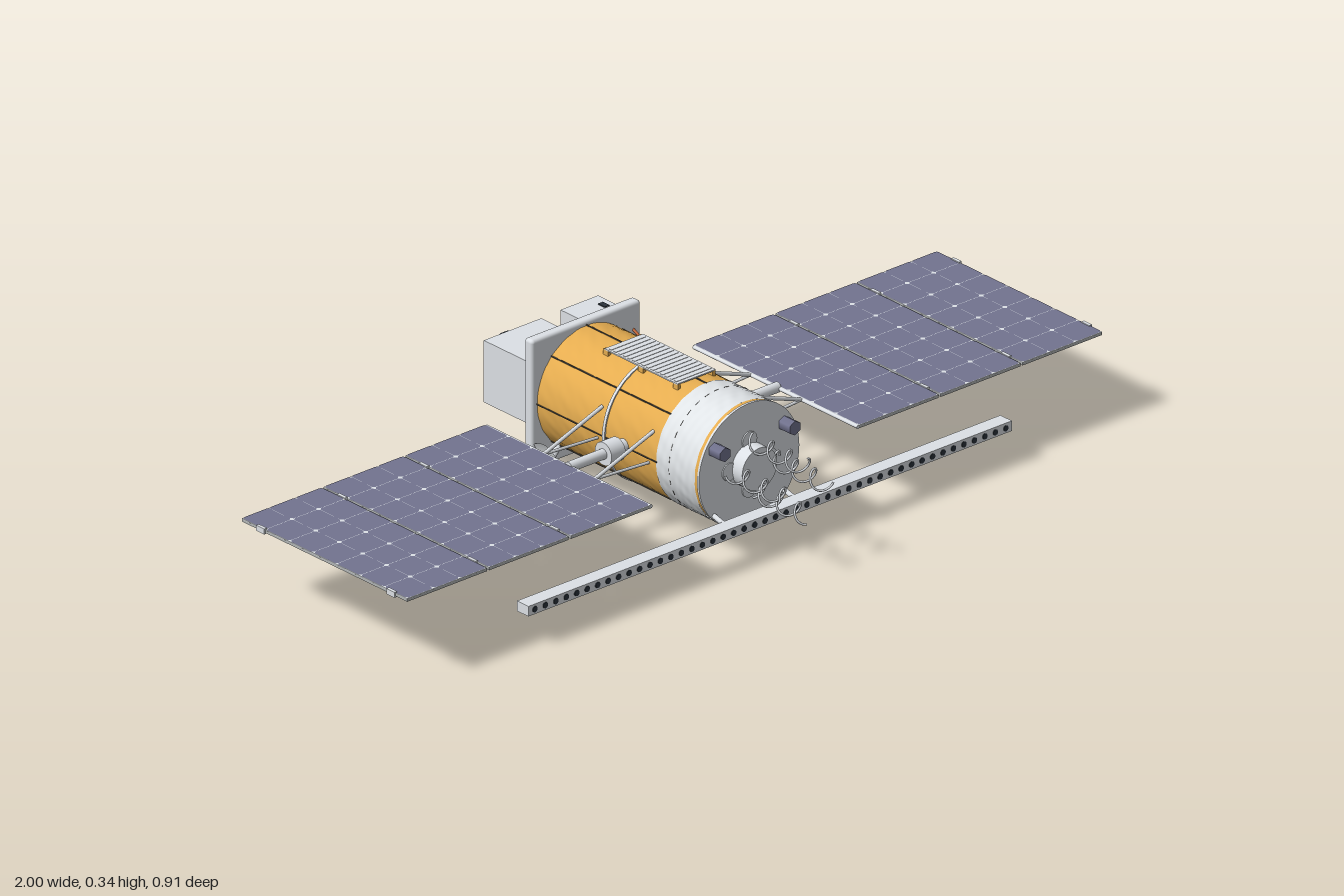
import * as THREE from 'three';
import { mergeGeometries } from 'three/addons/utils/BufferGeometryUtils.js';
import { RoundedBoxGeometry } from 'three/addons/geometries/RoundedBoxGeometry.js';

const mat = (name, color, side = THREE.FrontSide) => {
  const m = new THREE.MeshStandardMaterial({ color, side });
  m.name = name;
  return m;
};

export function createModel() {
  const gold = mat('gold foil', 0xe6ad50);
  const blanket = mat('silver blanket', 0xe2e6e9, THREE.DoubleSide);
  const metal = mat('light metal', 0xdde1e6);
  const cellBlue = mat('solar cell', 0x737490);
  const backing = mat('panel backing', 0xb2b6b6);
  const black = mat('black', 0x2a323a);
  const glass = mat('lens glass', 0x263540);
  const seam = mat('dark seam', 0x4a463f);
  const copper = mat('copper pipe', 0xc0663a);

  const model = new THREE.Group();
  const CY = 0.19, R = 0.143;

  const add = (name, geo, material, x = 0, y = 0, z = 0, parent = model) => {
    const m = new THREE.Mesh(geo, material);
    m.name = name;
    m.position.set(x, y, z);
    parent.add(m);
    return m;
  };
  const box = (name, material, w, h, d, x, y, z, parent) =>
    add(name, new THREE.BoxGeometry(w, h, d), material, x, y, z, parent);
  // cylinder along z between two depths
  const drum = (name, material, r, z0, z1, x, y, n = 40) =>
    add(name, new THREE.CylinderGeometry(r, r, z1 - z0, n).rotateX(Math.PI / 2), material, x, y, (z0 + z1) / 2);
  const rod = (name, material, a, b, r, parent = model, n = 12) => {
    const p = new THREE.Vector3(...a), q = new THREE.Vector3(...b);
    const m = add(name, new THREE.CylinderGeometry(r, r, p.distanceTo(q), n), material, 0, 0, 0, parent);
    m.position.copy(p).add(q).multiplyScalar(0.5);
    m.quaternion.setFromUnitVectors(new THREE.Vector3(0, 1, 0), q.sub(p).normalize());
    return m;
  };

  // Body: lightly crinkled foil wraps
  const wrap = (name, material, r, z0, z1) => {
    const g = new THREE.CylinderGeometry(r, r, z1 - z0, 96, 40, true).rotateX(Math.PI / 2);
    const p = g.attributes.position;
    for (let i = 0; i < p.count; i++) {
      const x = p.getX(i), y = p.getY(i), z = p.getZ(i), a = Math.atan2(y, x);
      const k = 1 + 0.005 * Math.sin(13 * a + 120 * z) * Math.sin(170 * z - 7 * a) + 0.002 * Math.sin(23 * a - 160 * z);
      p.setXY(i, x * k, y * k);
    }
    g.computeVertexNormals();
    // match normals across the wrap seam
    const n = g.attributes.normal;
    for (let i = 0; i < p.count; i += 97) {
      const v = new THREE.Vector3().fromBufferAttribute(n, i).add(new THREE.Vector3().fromBufferAttribute(n, i + 96)).normalize();
      n.setXYZ(i, v.x, v.y, v.z);
      n.setXYZ(i + 96, v.x, v.y, v.z);
    }
    add(name, g, material, 0, CY, (z0 + z1) / 2);
  };
  wrap('goldBody', gold, R - 0.001, -0.26, 0.13);
  wrap('silverFrontWrap', blanket, R, 0.128, 0.252);
  drum('frontGoldRim', gold, R - 0.001, 0.25, 0.262, 0, CY, 64);
  drum('frontPlate', metal, R + 0.001, 0.261, 0.267, 0, CY, 64);
  drum('middleBand', metal, R + 0.002, -0.044, -0.036, 0, CY, 64);

  // Stringers along the foil and stitches around the blanket
  for (let i = 0; i < 8; i++) {
    const a = (i * Math.PI) / 4, x = Math.cos(a) * R, y = CY + Math.sin(a) * R;
    rod('stringer', seam, [x, y, -0.257], [x, y, 0.13], 0.0018, model, 6);
  }
  for (let i = 0; i < 32; i++) {
    const s = add('stitch', new THREE.TorusGeometry(R + 0.0006, 0.0006, 4, 4, 0.1), seam, 0, CY, 0.17);
    s.rotation.z = (i / 32) * Math.PI * 2;
  }

  // Pipe along the left shoulder
  const pipe = new THREE.CatmullRomCurve3([[0.12, 0.271, 0.175], [0.126, 0.268, 0.165], [0.126, 0.267, 0],
    [0.126, 0.265, -0.2], [0.132, 0.272, -0.235], [0.135, 0.28, -0.26]].map(p => new THREE.Vector3(...p)));
  add('pipe', new THREE.TubeGeometry(pipe, 40, 0.0032, 10), copper);

  // Slatted radiator on top
  box('radiatorPlate', metal, 0.11, 0.003, 0.235, 0, 0.3355, -0.02);
  for (let i = 0; i < 15; i++) box('radiatorSlat', metal, 0.1, 0.001, 0.008, 0, 0.3375, -0.125 + i * 0.015);
  for (const z of [0.09, -0.022, -0.135])
    for (const x of [-0.05, 0.05]) box('radiatorBracket', gold, 0.008, 0.016, 0.016, x, 0.327, z);

  // Rear mounting plate with corner bolts
  add('rearPlate', new RoundedBoxGeometry(0.312, 0.306, 0.027, 3, 0.008), metal, 0, CY, -0.27);
  for (const x of [-0.14, 0.14]) for (const y of [0.055, 0.325]) drum('bolt', backing, 0.005, -0.29, -0.28, x, y, 8);

  // Instruments on the rear plate
  const lens = (name, x, y, r, zBase, zEnd) => {
    drum(name + 'Barrel', black, r, zEnd + 0.002, zBase, x, y);
    add(name + 'Rim', new THREE.TorusGeometry(r * 0.85, r * 0.14, 8, 40), black, x, y, zEnd + 0.14 * r);
    drum(name + 'Glass', glass, r * 0.68, zEnd + 0.001, zEnd + 0.005, x, y);
  };
  box('mainCamera', metal, 0.165, 0.147, 0.143, -0.0625, 0.2085, -0.354);
  drum('mainCameraCollar', metal, 0.064, -0.432, -0.42, -0.0625, 0.2085);
  lens('mainLens', -0.0625, 0.2085, 0.058, -0.42, -0.455);
  box('smallCamera', metal, 0.108, 0.087, 0.084, 0.076, 0.279, -0.324);
  box('smallCameraMark', black, 0.014, 0.003, 0.022, 0.107, 0.323, -0.322);
  lens('smallLens', 0.076, 0.279, 0.031, -0.36, -0.387);
  box('goldInstrument', gold, 0.115, 0.09, 0.112, 0.092, 0.122, -0.338);
  for (const x of [0.067, 0.122]) lens('sensorLens', x, 0.122, 0.016, -0.39, -0.406);

  // Side dish, opening outwards on the right
  const dishProfile = [];
  for (let i = 0; i <= 10; i++) dishProfile.push(new THREE.Vector2(0.053 * i / 10, 0.016 * (i / 10) ** 2));
  add('dish', new THREE.LatheGeometry(dishProfile, 48).rotateZ(Math.PI / 2), blanket, -0.135, 0.055, -0.225);
  rod('dishMount', metal, [-0.135, 0.06, -0.225], [-0.095, 0.09, -0.235], 0.007);

  // Front antenna cluster: a drum and four helices
  drum('antennaBase', metal, 0.05, 0.265, 0.301, 0, CY);
  class Helix extends THREE.Curve {
    getPoint(t, out = new THREE.Vector3()) {
      const a = t * Math.PI * 2 * 3;
      return out.set(Math.cos(a) * 0.02, Math.sin(a) * 0.02, t * 0.175);
    }
  }
  const helix = new THREE.TubeGeometry(new Helix(), 110, 0.0026, 8);
  for (let i = 0; i < 4; i++) {
    const a = (i * Math.PI) / 2, x = Math.cos(a) * 0.057, y = CY + Math.sin(a) * 0.057;
    drum('helixCup', metal, 0.021, 0.265, 0.27, x, y, 24);
    add('helixAntenna', helix, metal, x, y, 0.278).rotation.z = a;
  }
  for (const x of [-0.1, 0.1]) {
    drum('sunSensor', cellBlue, 0.017, 0.265, 0.303, x, 0.256, 6);
    rod('barStrut', metal, [x, 0.105, 0.24], [x, 0.088, 0.305], 0.006);
  }

  // Long antenna bar with a row of dark elements
  box('antennaBar', metal, 1.386, 0.024, 0.037, 0, 0.0845, 0.3165);
  for (let i = 0; i < 46; i++) drum('barElement', black, 0.007, 0.334, 0.337, -0.675 + i * 0.03, 0.0845, 10);

  // Solar cells: clipped squares merged into one sheet per panel
  const COLS = 3, ROWS = 7, PW = 0.228, PD = 0.533, X0 = 0.299, STEP = 0.2345, ZC = 0.0185;
  const cw = PW / COLS, cd = PD / ROWS, hx = cw / 2 - 0.0003, hz = cd / 2 - 0.0005, c = 0.006;
  const cellShape = new THREE.Shape([[-hx + c, -hz], [hx - c, -hz], [hx, -hz + c], [hx, hz - c],
    [hx - c, hz], [-hx + c, hz], [-hx, hz - c], [-hx, -hz + c]].map(p => new THREE.Vector2(...p)));
  const cells = [];
  for (let i = 0; i < COLS; i++) for (let j = 0; j < ROWS; j++)
    cells.push(new THREE.ShapeGeometry(cellShape).rotateX(-Math.PI / 2)
      .translate((i - (COLS - 1) / 2) * cw, 0, (j - (ROWS - 1) / 2) * cd));
  const cellSheet = mergeGeometries(cells);

  // Wings, boom and braces on both sides
  for (const s of [-1, 1]) {
    const wing = new THREE.Group();
    wing.name = s > 0 ? 'leftWing' : 'rightWing';
    model.add(wing);
    for (let k = 0; k < 3; k++) {
      const x = s * (X0 + PW / 2 + k * STEP);
      box('panelBacking', backing, PW, 0.006, PD, x, CY - 0.001, ZC, wing);
      box('panelFace', metal, PW, 0.0015, PD, x, CY + 0.0028, ZC, wing);
      add('solarCells', cellSheet, cellBlue, x, CY + 0.0045, ZC, wing);
      const edge = s * Math.min(X0 + PW + k * STEP + 0.00325, 0.996);
      for (const z of [-0.185, 0.235]) box('panelHinge', metal, 0.008, 0.013, 0.026, edge, CY, z, wing);
    }
    rod('wingRootBar', metal, [s * 0.297, CY, -0.245], [s * 0.297, CY, 0.285], 0.0045, wing);
    rod('boomRoot', metal, [s * 0.13, CY, 0.022], [s * 0.165, CY, 0.022], 0.017, wing, 24);
    rod('boomDrive', metal, [s * 0.16, CY, 0.022], [s * 0.2, CY, 0.022], 0.027, wing, 32);
    rod('boom', metal, [s * 0.2, CY, 0.022], [s * 0.3, CY, 0.022], 0.012, wing, 20);
    for (const z of [-0.062, 0.103]) {
      rod('upperBrace', metal, [s * 0.128, 0.25, z], [s * 0.297, CY, z], 0.0045, wing);
      rod('lowerBrace', metal, [s * 0.14, 0.18, z], [s * 0.297, CY, z], 0.0035, wing);
    }
  }
  return model;
}
